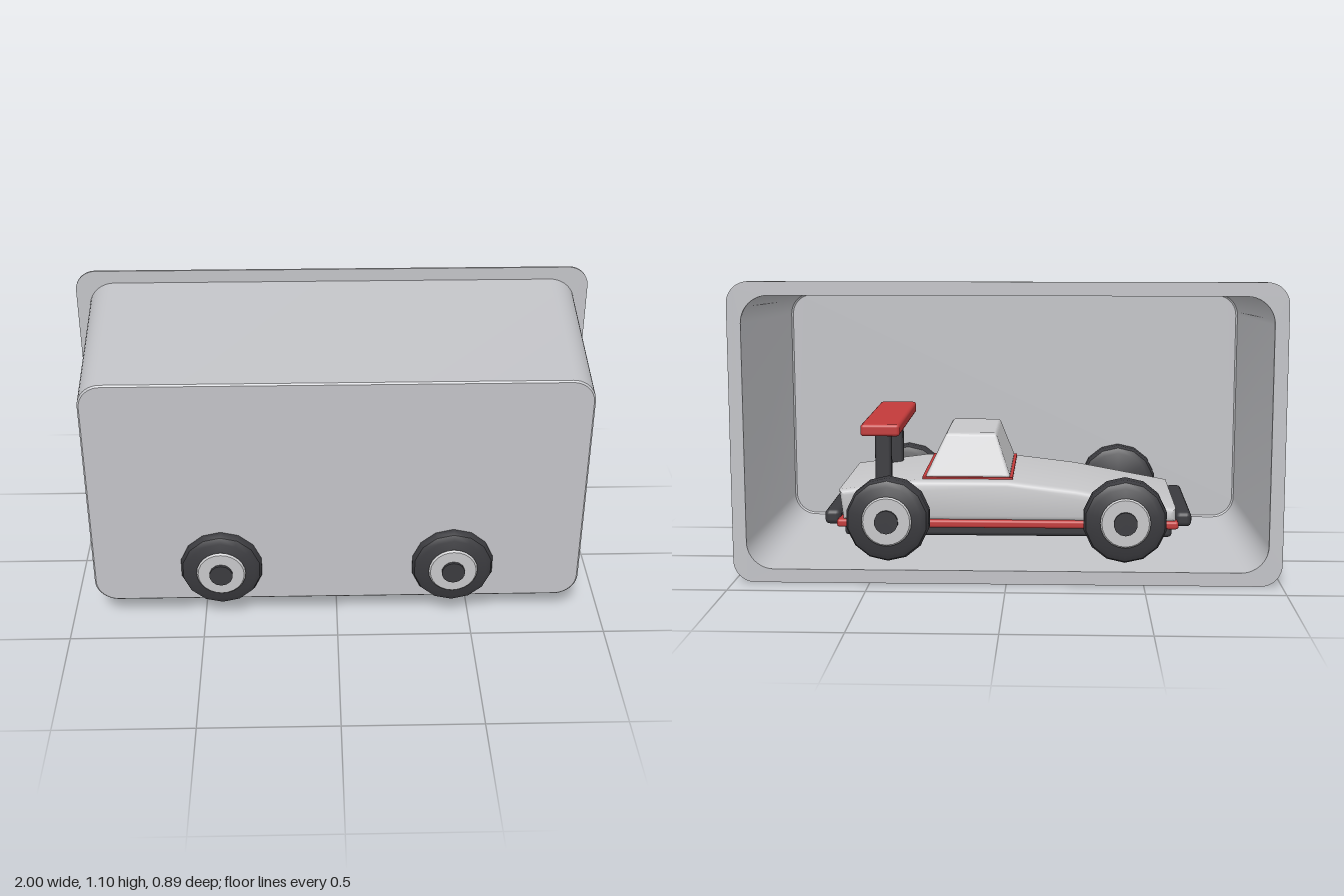
import * as THREE from 'three';
import { toCreasedNormals } from 'three/addons/utils/BufferGeometryUtils.js';
import { RoundedBoxGeometry } from 'three/addons/geometries/RoundedBoxGeometry.js';

const material = (name, color, side = THREE.FrontSide) => {
  const m = new THREE.MeshStandardMaterial({ color, side });
  m.name = name;
  return m;
};

function roundedRect(hx, hy, r, Type = THREE.Shape) {
  const s = new Type();
  s.absarc(hx - r, hy - r, r, 0, Math.PI / 2);
  s.absarc(r - hx, hy - r, r, Math.PI / 2, Math.PI);
  s.absarc(r - hx, r - hy, r, Math.PI, Math.PI * 1.5);
  s.absarc(hx - r, r - hy, r, Math.PI * 1.5, Math.PI * 2);
  s.closePath();
  return s;
}

// Tapered wall through rounded-rectangle sections [z, halfWidth, halfHeight, radius]
function wallGeometry(sections) {
  const pos = [], index = [];
  let n = 0;
  for (const [z, hx, hy, r] of sections) {
    const pts = roundedRect(hx, hy, r).getPoints(5);
    n = pts.length;
    pts.forEach(p => pos.push(p.x, p.y, z));
  }
  for (let s = 0; s < sections.length - 1; s++) {
    for (let i = 0; i < n; i++) {
      const a = s * n + i, b = s * n + (i + 1) % n;
      index.push(a, b, b + n, a, b + n, a + n);
    }
  }
  const g = new THREE.BufferGeometry();
  g.setAttribute('position', new THREE.Float32BufferAttribute(pos, 3));
  g.setIndex(index);
  return toCreasedNormals(g, 0.2);
}

export function createModel() {
  const model = new THREE.Group();
  const tray = material('tray grey', 0xc2c3c7, THREE.DoubleSide);
  const paint = material('body light grey', 0xc6c6c8);
  const red = material('red trim', 0xc23a3a);
  const dark = material('dark rubber', 0x3a3a3e);

  const add = (parent, name, geo, mat, x = 0, y = 0, z = 0) => {
    const m = new THREE.Mesh(geo, mat);
    m.name = name;
    m.position.set(x, y, z);
    parent.add(m);
    return m;
  };
  const block = (w, h, d, r) => new RoundedBoxGeometry(w, h, d, 2, r);

  // Display tray: open at the back with a thin flange
  const box = new THREE.Group();
  box.name = 'tray';
  model.add(box);
  const cy = 0.55;
  add(box, 'trayWall', wallGeometry([
    [-0.38, 0.95, 0.5, 0.1], [0.377, 0.908, 0.46, 0.085], [0.383, 0.902, 0.454, 0.08]
  ]), tray, 0, cy);
  add(box, 'trayPanel', new THREE.ShapeGeometry(roundedRect(0.902, 0.454, 0.08), 5), tray, 0, cy, 0.383);
  const flange = roundedRect(1, 0.55, 0.08);
  flange.holes.push(roundedRect(0.95, 0.5, 0.1, THREE.Path));
  add(box, 'trayFlange', new THREE.ExtrudeGeometry(flange,
    { depth: 0.008, bevelEnabled: false, curveSegments: 6 }), tray, 0, cy, -0.385);

  // Toy car, nose towards -x
  const car = new THREE.Group();
  car.name = 'car';
  model.add(car);
  add(car, 'chassis', block(1.22, 0.05, 0.48, 0.015), dark, 0, 0.17);
  add(car, 'floorPlate', block(1.26, 0.03, 0.61, 0.01), red, 0, 0.205);

  // Wedge-shaped body with bevelled sides
  const outline = [[-0.6, 0.235], [0.59, 0.235], [0.6, 0.31], [0.34, 0.345],
    [0, 0.345], [-0.25, 0.315], [-0.6, 0.25]];
  const body = new THREE.ExtrudeGeometry(
    new THREE.Shape(outline.map(([x, y]) => new THREE.Vector2(x, y))),
    { depth: 0.55, bevelThickness: 0.025, bevelSize: 0.02, bevelSegments: 3 });
  add(car, 'body', toCreasedNormals(body, 0.6), paint, 0, 0, -0.275);

  // Cabin narrowing to the roof, on a thin red surround
  add(car, 'cabinTrim', new THREE.BoxGeometry(0.335, 0.008, 0.515), red, 0.148, 0.368);
  const cabin = block(0.32, 0.16, 0.5, 0.012);
  const p = cabin.attributes.position;
  for (let i = 0; i < p.count; i++) {
    const t = p.getY(i) / 0.16 + 0.5;
    p.setX(i, p.getX(i) * (1 - 0.42 * t) - 0.01 * t);
    p.setZ(i, p.getZ(i) * (1 - 0.27 * t));
  }
  cabin.computeVertexNormals();
  add(car, 'cabin', cabin, paint, 0.148, 0.446);

  // Rear wing on two posts
  add(car, 'wing', block(0.145, 0.045, 0.62, 0.012), red, 0.465, 0.553);
  for (const s of [-1, 1]) {
    add(car, 'wingPost', block(0.06, 0.2, 0.05, 0.01), dark, 0.465, 0.44, s * 0.2);
    add(car, s < 0 ? 'frontBumper' : 'rearBumper', block(0.06, 0.055, 0.54, 0.018), dark, s * 0.65, 0.22);
  }

  // Wheels: chamfered tyre, pale disc and dark cap
  const tyreProfile = [[0, -0.052], [0.125, -0.052], [0.145, -0.042], [0.153, -0.025],
    [0.153, 0.025], [0.145, 0.042], [0.125, 0.052], [0, 0.052]];
  const hubProfile = [[0, -0.01], [0.085, -0.01], [0.091, 0], [0.085, 0.007], [0, 0.007]];
  const lathe = (pts, n) => toCreasedNormals(
    new THREE.LatheGeometry(pts.map(([r, y]) => new THREE.Vector2(r, y)), n), 0.6).rotateX(Math.PI / 2);
  const tyre = lathe(tyreProfile, 14), hub = lathe(hubProfile, 24);
  const cap = new THREE.CylinderGeometry(0.043, 0.043, 0.03, 14).rotateX(Math.PI / 2);
  const axle = new THREE.CylinderGeometry(0.03, 0.03, 0.7, 10).rotateX(Math.PI / 2);
  for (const x of [-0.43, 0.43]) {
    add(car, 'axle', axle, dark, x, 0.24);
    for (const s of [-1, 1]) {
      const wheel = new THREE.Group();
      wheel.name = 'wheel';
      wheel.position.set(x, 0.24, s * 0.368);
      if (s < 0) wheel.rotation.y = Math.PI;
      car.add(wheel);
      add(wheel, 'tyre', tyre, dark);
      add(wheel, 'hubDisc', hub, paint, 0, 0, 0.06);
      add(wheel, 'hubCap', cap, dark, 0, 0, 0.063);
    }
  }
  return model;
}
